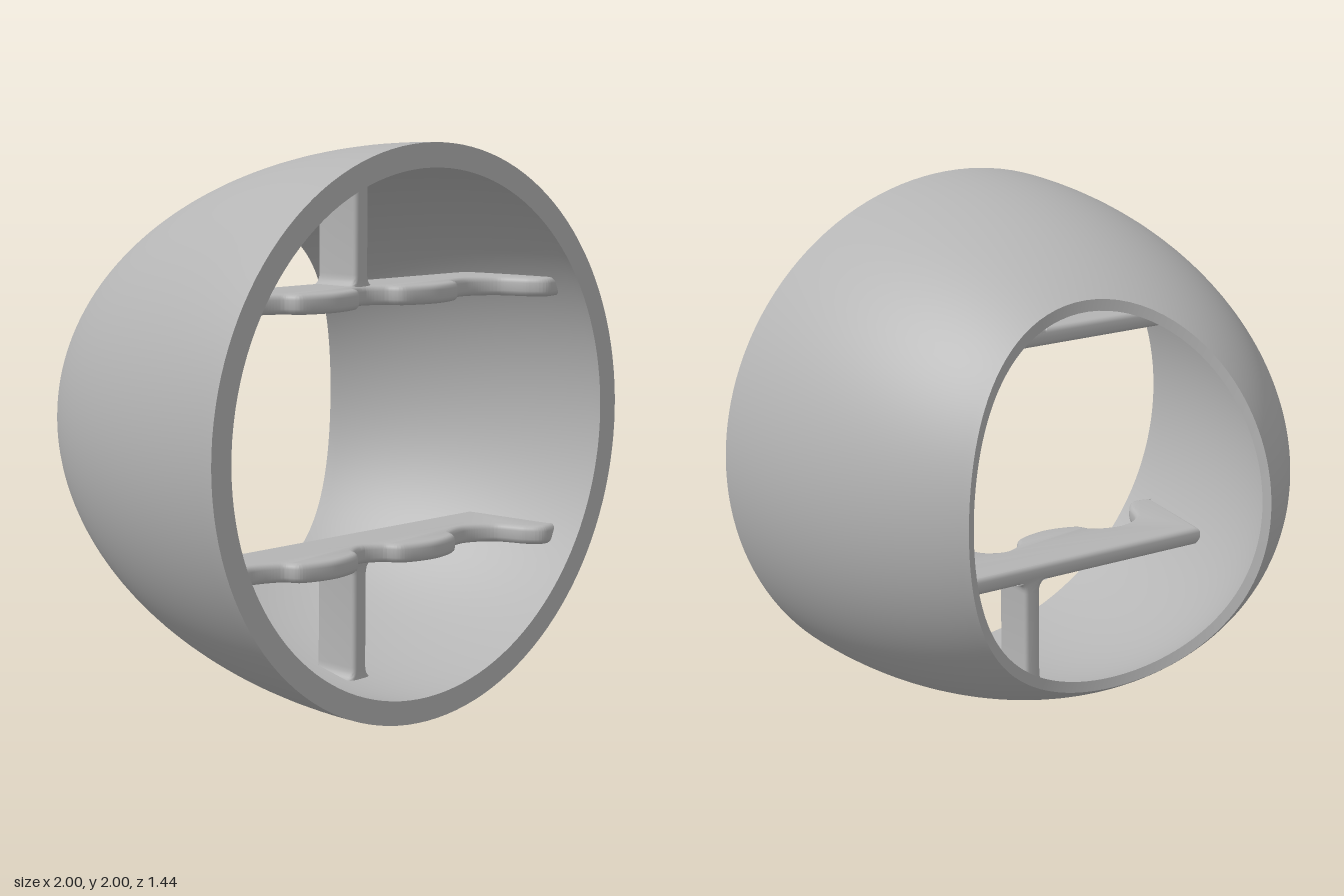
import * as THREE from 'three';
import { toCreasedNormals } from 'three/addons/utils/BufferGeometryUtils.js';

const FRONT = 0.72, DEPTH = 1.53;
const CUT = { x: 0.25, z: -0.988, r: 0.703 }; // upright cylinder that scoops out the back

// Point on the leaning dome at angle theta; phi runs from front rim (0) to pole
function domePoint(phi, theta, inner) {
  let r = Math.cos(phi), z = FRONT - DEPTH * Math.sin(phi);
  if (inner) {
    const t = 0.085 - 0.05 * Math.sin(Math.min(1, phi / 0.75) * Math.PI / 2);
    const nr = Math.cos(phi), nz = -Math.sin(phi) / DEPTH, l = Math.hypot(nr, nz);
    r -= t * nr / l;
    z -= t * nz / l;
  }
  return [-0.07 * Math.sin(phi) + r * Math.cos(theta), 1 + r * Math.sin(theta), z];
}

// Largest phi before the dome enters the scoop
function cutPhi(theta, inner) {
  let lo = 0, hi = 1.45;
  for (let i = 0; i < 30; i++) {
    const mid = (lo + hi) / 2;
    const [x, , z] = domePoint(mid, theta, inner);
    if (Math.hypot(x - CUT.x, z - CUT.z) > CUT.r) lo = mid; else hi = mid;
  }
  return lo;
}

// Closed skin: outside to the back opening, then inside back to the front
function shellGeometry() {
  const cols = 128, rows = 32, pos = [], index = [];
  const total = 2 * (rows + 1);
  for (let i = 0; i < total; i++) {
    const inner = i > rows;
    const v = inner ? (total - 1 - i) / rows : i / rows;
    for (let j = 0; j < cols; j++) {
      const theta = j / cols * Math.PI * 2;
      pos.push(...domePoint(cutPhi(theta, inner) * v, theta, inner));
    }
  }
  for (let i = 0; i < total; i++) {
    const n = (i + 1) % total;
    for (let j = 0; j < cols; j++) {
      const k = (j + 1) % cols;
      const a = i * cols + j, b = i * cols + k, c = n * cols + j, d = n * cols + k;
      index.push(a, c, b, b, c, d);
    }
  }
  const geo = new THREE.BufferGeometry();
  geo.setAttribute('position', new THREE.Float32BufferAttribute(pos, 3));
  geo.setIndex(index);
  return toCreasedNormals(geo, 0.7);
}

// Flat shelf with a straight back and a scalloped front edge
function shelfGeometry() {
  const half = [[0.07, 0.43], [0.12, 0.49], [0.25, 0.52], [0.38, 0.49], [0.43, 0.43],
    [0.54, 0.40], [0.64, 0.45], [0.69, 0.56], [0.74, 0.61], [0.82, 0.60]];
  const edge = [
    ...half,
  ].reverse().concat([[0, 0.40]], half.map(([x, z]) => [-x, z]));
  const shape = new THREE.Shape();
  shape.moveTo(-0.78, 0.2);
  shape.lineTo(0.78, 0.2);
  shape.lineTo(0.82, 0.60);
  shape.splineThru(edge.slice(1).map(([x, z]) => new THREE.Vector2(x, z)));
  shape.closePath();
  const geo = new THREE.ExtrudeGeometry(shape, {
    depth: 0.03, curveSegments: 80, bevelEnabled: true, bevelThickness: 0.02,
    bevelSize: 0.02, bevelOffset: -0.02, bevelSegments: 3,
  });
  geo.translate(0, 0, -0.015);
  geo.rotateX(Math.PI / 2);
  return toCreasedNormals(geo, 0.7);
}

// Upright web with a flared foot and head; local y from shelf to wall
function strutGeometry() {
  const w = 0.033, f = 0.045, y0 = 0.49, y1 = 0.915;
  const s = new THREE.Shape();
  s.moveTo(-w - f, y0);
  s.lineTo(w + f, y0);
  s.quadraticCurveTo(w, y0, w, y0 + f);
  s.lineTo(w, y1 - f);
  s.quadraticCurveTo(w, y1, w + f, y1);
  s.lineTo(-w - f, y1);
  s.quadraticCurveTo(-w, y1, -w, y1 - f);
  s.lineTo(-w, y0 + f);
  s.quadraticCurveTo(-w, y0, -w - f, y0);
  const geo = new THREE.ExtrudeGeometry(s, {
    depth: 0.16, curveSegments: 6, bevelEnabled: true, bevelThickness: 0.015,
    bevelSize: 0.015, bevelOffset: -0.015, bevelSegments: 3,
  });
  geo.translate(0, 0, 0.215);
  return toCreasedNormals(geo, 0.7);
}

export function createModel() {
  const model = new THREE.Group();
  model.name = 'scoopedDomeHousing';
  const grey = new THREE.MeshStandardMaterial({ color: 0xb4b4b4 });
  grey.name = 'grey';

  const add = (parent, name, geo) => {
    const mesh = new THREE.Mesh(geo, grey);
    mesh.name = name;
    parent.add(mesh);
    return mesh;
  };

  add(model, 'shell', shellGeometry());

  // Upper bracket, and the same bracket turned over below
  const shelf = shelfGeometry(), strut = strutGeometry();
  for (const side of [1, -1]) {
    const bracket = new THREE.Group();
    bracket.name = side > 0 ? 'upperBracket' : 'lowerBracket';
    bracket.position.y = 1;
    add(bracket, 'shelf', shelf).position.y = side * 0.46;
    const web = strut.clone();
    if (side < 0) web.rotateZ(Math.PI);
    add(bracket, 'strut', web);
    model.add(bracket);
  }
  return model;
}
